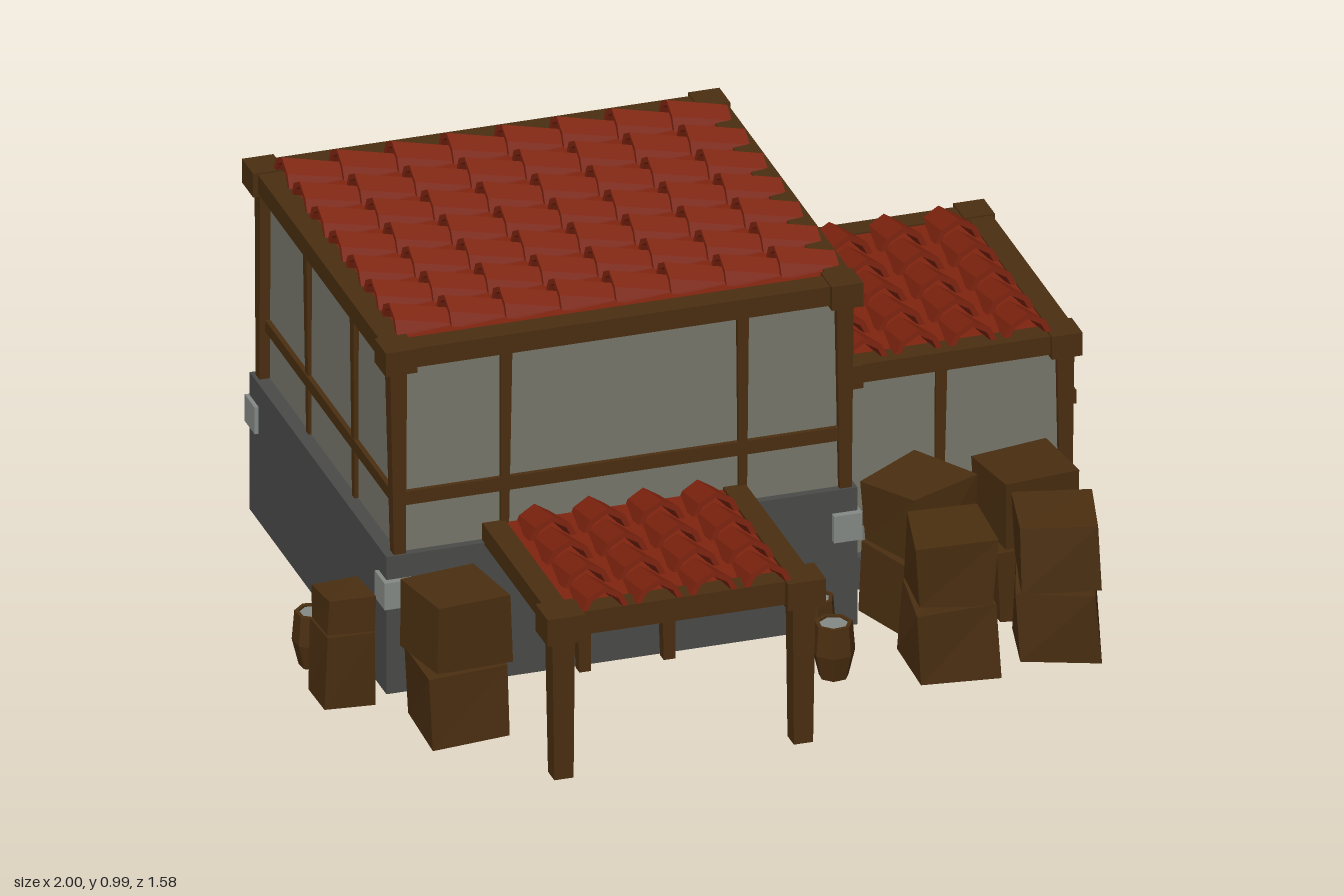
import * as THREE from 'three';

const mat = (name, color) => {
  const m = new THREE.MeshStandardMaterial({ color });
  m.name = name;
  m.flatShading = true;
  return m;
};

export function createModel() {
  const root = new THREE.Group();
  root.name = 'tiledHouse';
  const wood = mat('dark wood', 0x4a2e10);
  const plank = mat('door wood', 0x6b431e);
  const plaster = mat('plaster', 0x77766a);
  const stone = mat('stone', 0x4a4b49);
  const paleStone = mat('pale stone', 0x858a86);
  const clay = mat('clay tile', 0x80240f);

  // seeded random in -1..1
  let seed = 7;
  const rnd = () => {
    seed = (seed * 16807) % 2147483647;
    return (seed / 2147483647) * 2 - 1;
  };

  const section = (name) => {
    const g = new THREE.Group();
    g.name = name;
    root.add(g);
    return g;
  };
  const add = (g, name, geo, m) => {
    const mesh = new THREE.Mesh(geo, m);
    mesh.name = name;
    g.add(mesh);
    return mesh;
  };
  // box from its limits
  const box = (g, name, m, x0, x1, y0, y1, z0, z1) => {
    const mesh = add(g, name, new THREE.BoxGeometry(x1 - x0, y1 - y0, z1 - z0), m);
    mesh.position.set((x0 + x1) / 2, (y0 + y1) / 2, (z0 + z1) / 2);
    return mesh;
  };
  // hewn post, thicker at the top, with a slight lean
  const post = (g, name, x, z, y0, y1, w, taper = 0.7) => {
    const geo = new THREE.BoxGeometry(w, y1 - y0, w);
    const p = geo.attributes.position;
    const lean = rnd() * 0.006;
    for (let i = 0; i < p.count; i++) {
      if (p.getY(i) < 0) p.setXYZ(i, p.getX(i) * taper + lean, p.getY(i), p.getZ(i) * taper);
    }
    add(g, name, geo, wood).position.set(x, (y0 + y1) / 2, z);
  };
  // four roof beams with blocks at the corners
  const roofFrame = (g, x0, x1, y0, y1, z0, z1, w) => {
    const e = 0.008;
    for (const x of [x0, x1 - w]) box(g, 'sideBeam', wood, x, x + w, y0 + e, y1 - e / 2, z0, z1);
    for (const z of [z0, z1 - w]) box(g, 'crossBeam', wood, x0, x1, y0 + e, y1 - e / 2, z, z + w);
    for (const x of [x0, x1 - w]) for (const z of [z0, z1 - w]) {
      box(g, 'beamEnd', wood, x - 0.012, x + w + 0.006, y0, y1, z - 0.012, z + w + 0.012);
    }
  };

  // arched clay tile: wide end at +z
  const arch = new THREE.Shape([
    [-0.058, 0], [-0.043, 0.032], [0, 0.056], [0.043, 0.032], [0.058, 0],
    [0.044, 0], [0.033, 0.022], [0, 0.042], [-0.033, 0.022], [-0.044, 0],
  ].map(([x, y]) => new THREE.Vector2(x, y)));
  const tileGeo = new THREE.ExtrudeGeometry(arch, { depth: 0.15, bevelEnabled: false });
  tileGeo.translate(0, 0, -0.075);
  const tp = tileGeo.attributes.position;
  for (let i = 0; i < tp.count; i++) {
    if (tp.getZ(i) < 0) tp.setXYZ(i, tp.getX(i) * 0.86, tp.getY(i) - 0.036, tp.getZ(i));
  }
  tileGeo.computeVertexNormals();
  const tile = (g, x, y, z, turn) => {
    const t = add(g, 'roofTile', tileGeo, clay);
    t.position.set(x, y, z);
    t.rotation.y = turn;
  };

  // main house
  const house = section('mainHouse');
  box(house, 'stoneBase', stone, -0.835, 0.33, 0.04, 0.4, -0.765, 0.255);
  box(house, 'plasterWalls', plaster, -0.8, 0.305, 0.4, 0.92, -0.735, 0.235);
  for (const x of [-0.805, -0.535, 0.05, 0.3]) for (const z of [-0.735, 0.235]) {
    post(house, 'wallPost', x, z, 0.4, 0.91, x === -0.535 || x === 0.05 ? 0.028 : 0.042);
  }
  for (const x of [-0.8, 0.305]) for (const z of [-0.42, -0.07]) {
    post(house, 'sidePost', x, z, 0.4, 0.91, 0.028);
  }
  box(house, 'middleRail', wood, -0.8, 0.305, 0.525, 0.56, 0.225, 0.247);
  box(house, 'middleRail', wood, -0.8, 0.305, 0.525, 0.56, -0.747, -0.725);
  for (const x of [-0.802, 0.307]) box(house, 'middleRail', wood, x - 0.01, x + 0.01, 0.525, 0.555, -0.735, 0.235);
  for (const x of [-0.81, 0.302]) for (const z of [-0.735, 0.235]) {
    box(house, 'cornerStone', paleStone, x - 0.035, x + 0.035, 0.27, 0.34, z - 0.037, z + 0.037);
  }
  roofFrame(house, -0.835, 0.328, 0.89, 0.952, -0.775, 0.275, 0.06);
  box(house, 'roofDeck', clay, -0.79, 0.29, 0.925, 0.944, -0.73, 0.23);
  for (let r = 0; r < 7; r++) for (let c = 0; c < 8; c++) {
    tile(house, -0.715 + c * 0.136, 0.95, -0.663 + r * 0.1337, -Math.PI / 2);
  }

  // side annex
  const annex = section('annex');
  box(annex, 'stoneBase', stone, 0.32, 0.945, 0.041, 0.125, -0.64, 0.085);
  box(annex, 'plasterWalls', plaster, 0.3, 0.915, 0.12, 0.6, -0.61, 0.06);
  for (const z of [-0.605, 0.055]) {
    post(annex, 'cornerPost', 0.905, z, 0.12, 0.58, 0.042);
    post(annex, 'cornerPost', 0.345, z, 0.12, 0.58, 0.035);
    post(annex, 'wallPost', 0.6, z, 0.12, 0.58, 0.028);
    box(annex, 'lowRail', wood, 0.33, 0.91, 0.2, 0.23, z - 0.016, z + 0.016);
  }
  for (const [z0, z1, tilt] of [[-0.6, -0.38, -0.06], [-0.18, 0.05, 0.06]]) {
    box(annex, 'lowRail', wood, 0.9, 0.93, 0.205, 0.235, z0, z1).rotation.x = tilt;
  }
  roofFrame(annex, 0.335, 0.935, 0.572, 0.632, -0.633, 0.08, 0.058);
  box(annex, 'roofDeck', clay, 0.36, 0.89, 0.605, 0.624, -0.6, 0.05);
  for (let c = 0; c < 4; c++) for (let r = 0; r < 5; r++) {
    tile(annex, 0.41 + c * 0.135, 0.633, -0.01 - r * 0.13, 0);
  }

  // porch on two free posts
  const porch = section('porch');
  for (const x of [-0.565, 0.03]) {
    post(porch, 'porchPost', x, 0.735, 0.015, 0.4, 0.056, 0.85);
    box(porch, 'sideBeam', wood, x - 0.028, x + 0.028, 0.395, 0.445, 0.24, 0.75);
    box(porch, 'beamEnd', wood, x - 0.047, x + 0.047, 0.382, 0.452, 0.695, 0.785);
  }
  box(porch, 'frontBeam', wood, -0.6, 0.07, 0.388, 0.448, 0.705, 0.762);
  box(porch, 'roofDeck', clay, -0.54, 0.005, 0.42, 0.438, 0.24, 0.72);
  for (let c = 0; c < 4; c++) for (let r = 0; r < 4; r++) {
    tile(porch, -0.463 + c * 0.1345, 0.45, 0.69 - r * 0.13, 0);
  }

  // doorways facing +z, later turned into place
  const doorway = (name, panel) => {
    const g = section(name);
    for (const s of [-1, 1]) post(g, 'doorPost', s * 0.105, 0.02, 0.04, 0.33, 0.038, 0.75);
    box(g, 'lintel', wood, -0.137, 0.137, 0.325, 0.36, -0.02, 0.06);
    const geo = new THREE.ExtrudeGeometry(
      new THREE.Shape(panel.map(([x, y]) => new THREE.Vector2(x, y))),
      { depth: 0.009, bevelEnabled: false });
    add(g, 'doorPanel', geo, plank);
    return g;
  };
  doorway('frontDoor', [[-0.095, 0.33], [-0.07, 0.14], [-0.045, 0.18], [-0.035, 0.27], [0.0, 0.33]])
    .position.set(-0.255, 0, 0.256);
  const sideDoor = doorway('sideDoor',
    [[-0.09, 0.05], [-0.075, 0.1], [-0.04, 0.125], [0.09, 0.125], [0.095, 0.335], [-0.095, 0.335]]);
  sideDoor.position.set(0.943, 0, -0.278);
  sideDoor.rotation.y = Math.PI / 2;

  // rough crates: boxes with shifted corners
  const crates = section('crates');
  const crate = (x, y0, y1, z, w, turn) => {
    const geo = new THREE.BoxGeometry(w, y1 - y0, w);
    const p = geo.attributes.position;
    const shift = Array.from({ length: 8 }, () => [rnd(), rnd(), rnd()]);
    for (let i = 0; i < p.count; i++) {
      const k = (p.getX(i) > 0 ? 1 : 0) + (p.getY(i) > 0 ? 2 : 0) + (p.getZ(i) > 0 ? 4 : 0);
      const [a, b, c] = shift[k].map((v) => v * w * 0.05);
      p.setXYZ(i, p.getX(i) + a, p.getY(i) + b, p.getZ(i) + c);
    }
    geo.computeVertexNormals();
    const m = add(crates, 'crate', geo, wood);
    m.position.set(x, (y0 + y1) / 2, z);
    m.rotation.y = turn;
  };
  for (const [x, z, turn] of [[-0.72, 0.43, 0.03], [0.49, 0.22, 0.4], [0.75, 0.235, 0], [0.48, 0.49, -0.06], [0.745, 0.49, -0.28]]) {
    crate(x, 0.025, 0.21, z, 0.19, turn);
    crate(x, 0.215, 0.388, z, 0.185, turn + rnd() * 0.12);
  }
  crate(0.45, 0.03, 0.175, -0.72, 0.12, 0.1);
  crate(0.45, 0.18, 0.31, -0.725, 0.11, 0.2);
  crate(-0.93, 0.03, 0.215, 0.215, 0.118, 0);
  crate(-0.93, 0.22, 0.31, 0.215, 0.112, 0.06);

  // small barrels with pale filling
  const barrels = section('barrels');
  const outline = [[0, 0.045], [0.036, 0.045], [0.052, 0.11], [0.046, 0.185], [0.036, 0.185], [0.036, 0.165]]
    .map(([r, y]) => new THREE.Vector2(r, y));
  for (const [x, z] of [[-0.95, 0.06], [0.19, 0.36], [0.19, 0.5]]) {
    const b = add(barrels, 'barrel', new THREE.LatheGeometry(outline, 7), wood);
    b.position.set(x, 0, z);
    const f = add(barrels, 'barrelFilling', new THREE.CylinderGeometry(0.038, 0.038, 0.008, 7), paleStone);
    f.position.set(x, 0.176, z);
    b.rotation.y = f.rotation.y = rnd();
  }
  return root;
}
